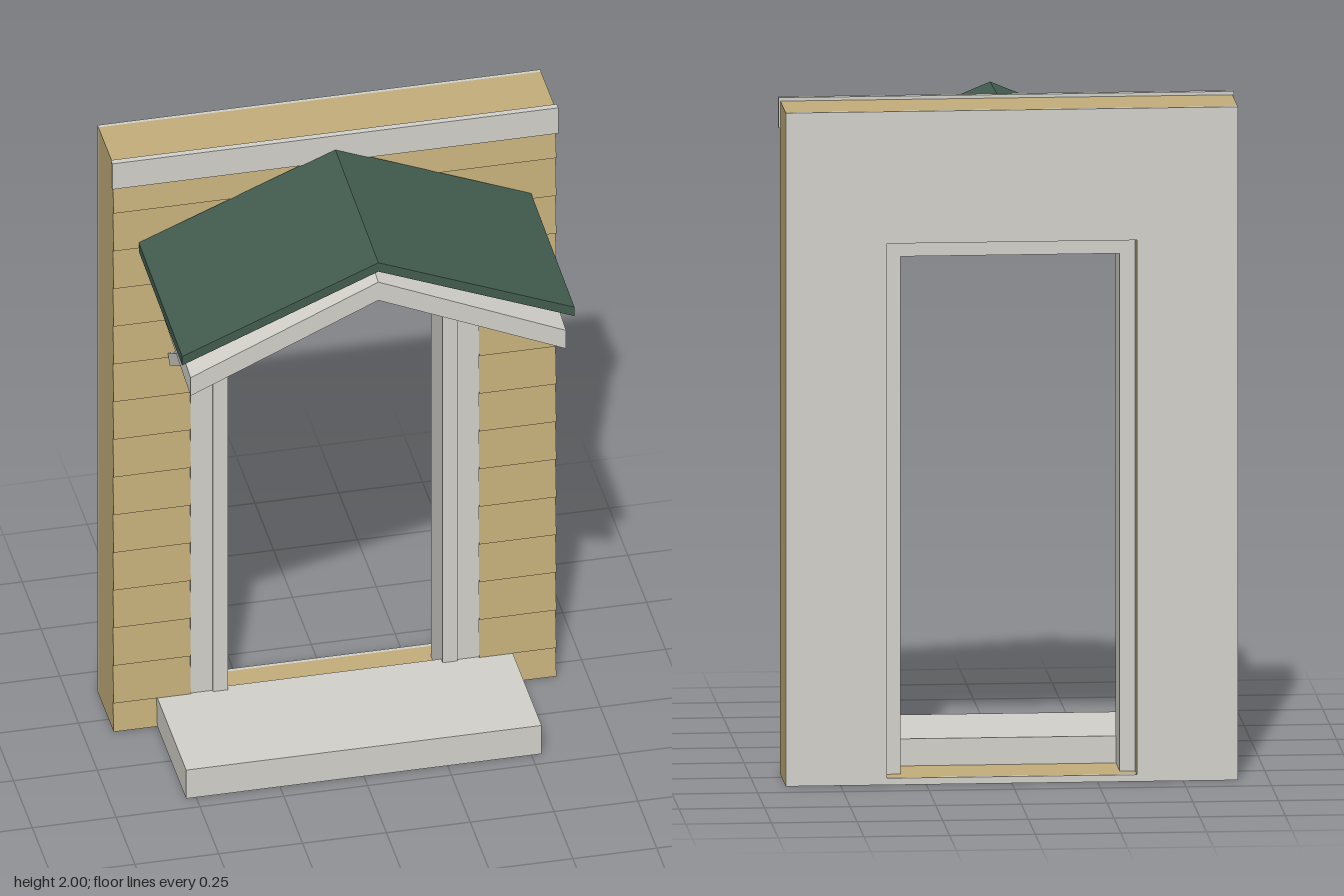
import * as THREE from 'three';

export function createModel() {
  const model = new THREE.Group();
  const mat = (name, color) => {
    const m = new THREE.MeshStandardMaterial({ color });
    m.name = name;
    return m;
  };
  const tan = mat('tanSiding', 0xc2ad79);
  const grey = mat('paleGreyTrim', 0xd2d0c9);
  const green = mat('greenRoofing', 0x435c4f);

  const add = (name, geometry, material) => {
    const mesh = new THREE.Mesh(geometry, material);
    mesh.name = name;
    model.add(mesh);
    return mesh;
  };

  // Box given by its minimum and maximum on each axis
  const box = (name, material, x0, x1, y0, y1, z0, z1) => {
    const mesh = add(name, new THREE.BoxGeometry(x1 - x0, y1 - y0, z1 - z0), material);
    mesh.position.set((x0 + x1) / 2, (y0 + y1) / 2, (z0 + z1) / 2);
    return mesh;
  };

  const shapeOf = (points) => new THREE.Shape(points.map(([x, y]) => new THREE.Vector2(x, y)));

  const extrude = (shape, z0, z1) =>
    new THREE.ExtrudeGeometry(shape, { depth: z1 - z0, bevelEnabled: false }).translate(0, 0, z0);

  // Wall core and back lining, both pierced by the doorway
  const W = 0.66, open = 0.365, floorY = 0.02, openTop = 1.6;
  const wallShape = shapeOf([[-W, 0], [W, 0], [W, 1.99], [-W, 1.99]]);
  wallShape.holes.push(new THREE.Path([
    new THREE.Vector2(-open, floorY), new THREE.Vector2(-open, openTop),
    new THREE.Vector2(open, openTop), new THREE.Vector2(open, floorY),
  ]));
  add('wall', extrude(wallShape, -0.388, -0.2), tan);
  add('backLining', extrude(wallShape, -0.4, -0.388), grey);

  // Lapped siding board: thicker at its lower edge
  const board = (x0, x1, y0, y1) => {
    const profile = shapeOf([[0.2, y0], [0.183, y0], [0.195, y1], [0.2, y1]]);
    const g = new THREE.ExtrudeGeometry(profile, { depth: x1 - x0, bevelEnabled: false });
    g.rotateY(Math.PI / 2); // profile x becomes -z, depth becomes +x
    g.translate(x0, 0, 0);
    add('sidingBoard', g, tan);
  };
  const casing = 0.43, headerTop = 1.7, pitch = 0.1325;
  for (let y = 0.1 - pitch; y < 1.9; y += pitch) {
    const y0 = Math.max(y, 0), y1 = Math.min(y + pitch, 1.91);
    if (y0 > headerTop - 0.03) {
      board(-W, W, y0, y1);
    } else {
      board(-W, -casing, y0, y1);
      board(casing, W, y0, y1);
    }
  }

  // Trim: top band, door casing, and the frame set inside the opening
  box('topTrim', grey, -0.665, 0.665, 1.91, 2, -0.2, -0.18);
  box('headerCasing', grey, -casing, casing, 1.61, headerTop, -0.2, -0.181);
  box('frameHead', grey, -open, open, 1.55, openTop, -0.335, -0.18);
  for (const s of [-1, 1]) {
    const span = (a, b) => (s > 0 ? [a, b] : [-b, -a]);
    box('sideCasing', grey, ...span(open, casing), 0, 1.61, -0.2, -0.187);
    box('frameJamb', grey, ...span(0.32, open), floorY, 1.55, -0.335, -0.18);
  }

  // Doorstep
  box('doorstep', grey, -0.53, 0.53, 0, 0.1, -0.2, 0.2);

  // Gabled slab whose ridge falls towards the front
  const gable = (name, material, half, ridge, eave, thick, fall) => {
    const z0 = -0.185, z1 = 0.393;
    const g = extrude(shapeOf([
      [-half, eave - thick], [0, ridge - thick], [half, eave - thick],
      [half, eave], [0, ridge], [-half, eave],
    ]), z0, z1);
    const p = g.attributes.position;
    for (let i = 0; i < p.count; i++) {
      p.setY(i, p.getY(i) + fall * (z1 - p.getZ(i)) / (z1 - z0));
    }
    g.computeVertexNormals();
    add(name, g, material);
  };
  gable('roof', green, 0.585, 1.933, 1.69, 0.031, 0.018);
  gable('roofSupport', grey, 0.56, 1.865, 1.612, 0.064, 0.064);

  // Diagonal brackets under the eaves
  const from = new THREE.Vector2(-0.17, 1.295), to = new THREE.Vector2(0.27, 1.58);
  const run = to.clone().sub(from);
  for (const s of [-1, 1]) {
    const b = add('bracket', new THREE.BoxGeometry(0.042, 0.037, run.length()), grey);
    b.position.set(s * 0.478, (from.y + to.y) / 2, (from.x + to.x) / 2);
    b.rotation.x = -Math.atan2(run.y, run.x);
  }

  return model;
}
